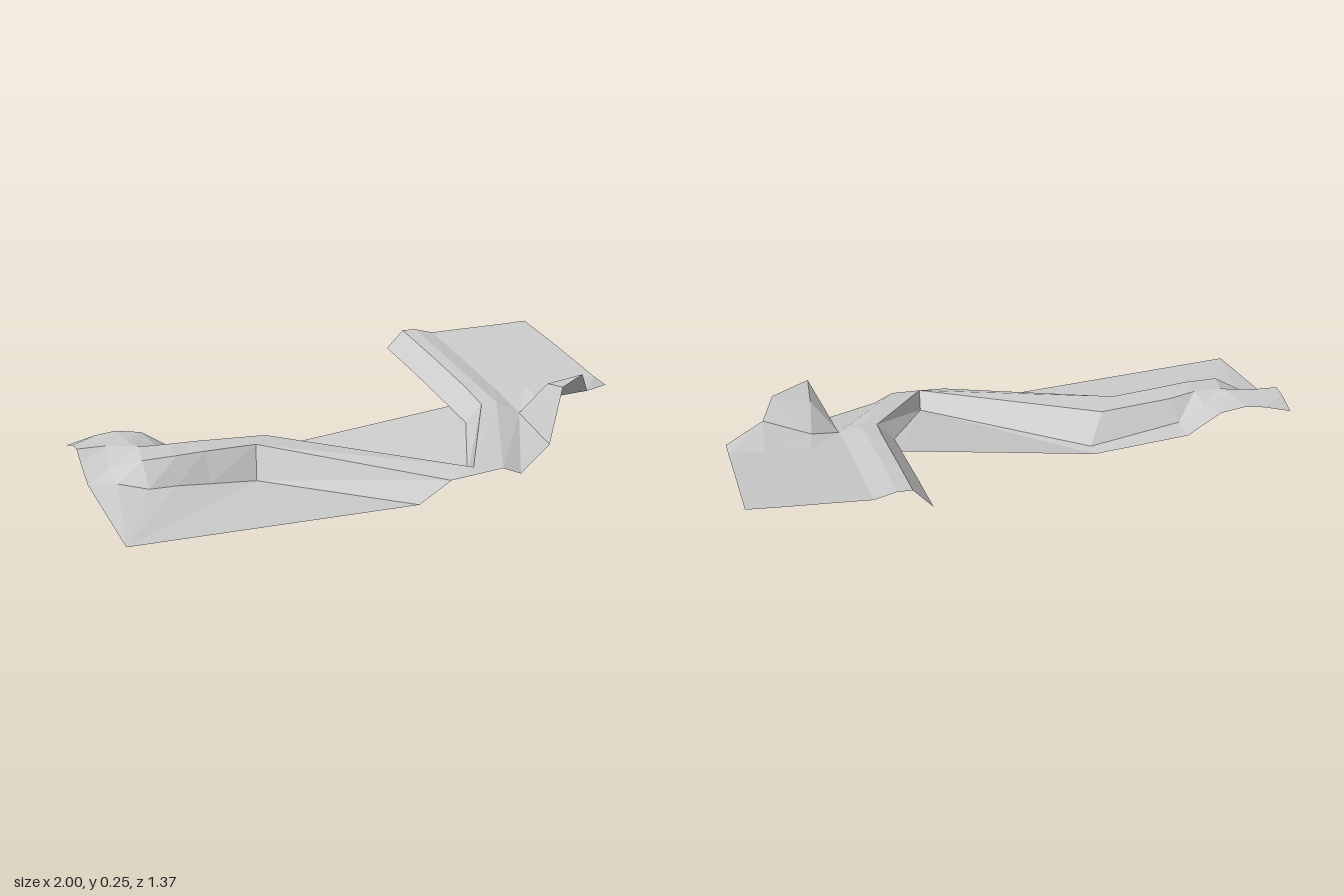
import * as THREE from 'three';

const material = new THREE.MeshStandardMaterial({ color: 0xcccccc, flatShading: true, side: THREE.DoubleSide });

// Surface from polygon fans, every triangle turned to face upwards
function sheet(name, polygons) {
  const out = [];
  for (const poly of polygons) {
    for (let i = 1; i < poly.length - 1; i++) {
      const a = poly[0];
      let b = poly[i], c = poly[i + 1];
      const up = (b[2] - a[2]) * (c[0] - a[0]) - (b[0] - a[0]) * (c[2] - a[2]);
      if (up < 0) [b, c] = [c, b];
      out.push(...a, ...b, ...c);
    }
  }
  const geometry = new THREE.BufferGeometry();
  geometry.setAttribute('position', new THREE.Float32BufferAttribute(out, 3));
  geometry.computeVertexNormals();
  const mesh = new THREE.Mesh(geometry, material);
  mesh.name = name;
  return mesh;
}

// Quads between neighbouring cross-sections
function loft(sections) {
  const quads = [];
  for (let s = 0; s < sections.length - 1; s++) {
    const p = sections[s], q = sections[s + 1];
    const n = Math.min(p.length, q.length);
    for (let i = 0; i < n - 1; i++) quads.push([p[i], p[i + 1], q[i + 1], q[i]]);
  }
  return quads;
}

export function createModel() {
  const group = new THREE.Group();
  group.name = 'roadTerrain';

  // Cross-sections: outer foot, outer road edge, inner road edge, inner foot, back border
  const west = [
    [[-1, 0.08, 0.2], [-1, 0.125, 0.11], [-1, 0.16, 0.06], [-1, 0.155, 0], [-1, 0.128, -0.09]],
    [[-0.91, 0.085, 0.24], [-0.92, 0.11, 0.15], [-0.9, 0.16, 0.06], [-0.9, 0.16, 0], [-0.9, 0.152, -0.09]],
    [[-0.82, 0.075, 0.3], [-0.82, 0.148, 0.22], [-0.8, 0.157, 0.1], [-0.82, 0.16, 0.04], [-0.83, 0.16, -0.09]],
    [[-0.72, 0.068, 0.28], [-0.7, 0.148, 0.21], [-0.7, 0.155, 0.1], [-0.72, 0.13, 0.04], [-0.74, 0.145, -0.09]],
    [[-0.6, 0.052, 0.255], [-0.6, 0.145, 0.19], [-0.6, 0.146, 0.075], [-0.62, 0.075, 0.02], [-0.62, 0.07, -0.09]],
    [[-0.43, 0.032, 0.225], [-0.41, 0.138, 0.16], [-0.34, 0.13, 0.05], [-0.28, 0.036, -0.03], [-0.28, 0.032, -0.09]],
    [[0.02, 0, 0.56], [0.14, 0.065, 0.545], [0.24, 0.085, 0.5], [0.25, 0.035, 0.43]],
  ];
  const bend = west[6];

  // Cross-sections: inner foot, inner road edge, outer road edge, outer foot
  const east = [
    [bend[3], bend[2], [0.34, 0.075, 0.52], [0.41, 0.045, 0.512]],
    [[0.41, 0.093, 0.06], [0.47, 0.155, 0.06], [0.53, 0.155, 0.06], [0.6, 0.12, 0.1]],
    [[0.41, 0.112, -0.09], [0.475, 0.177, -0.09], [0.525, 0.177, -0.09], [0.6, 0.153, -0.09]],
    [[0.41, 0.15, -0.4], [0.475, 0.215, -0.4], [0.525, 0.215, -0.4], [0.6, 0.193, -0.4]],
    [[0.41, 0.18, -0.685], [0.475, 0.245, -0.685], [0.525, 0.245, -0.685], [0.6, 0.225, -0.685]],
  ];

  group.add(sheet('westRoadBank', loft(west)));
  group.add(sheet('eastRoadBank', loft(east)));
  group.add(sheet('roadBend', [[bend[1], east[0][2], bend[2]]]));

  // Low ground in front of the west road
  group.add(sheet('frontGround', [[[-1, 0.035, 0.68], ...west.map(s => s[0])]]));

  // Basin enclosed by the hairpin
  group.add(sheet('basin', [[bend[3], east[1][0], east[2][0], west[5][4], west[5][3]]]));

  // Mound cut off by the slanted border, with the gully beside it
  const foot = east[1][3];
  const border = [[0.6, 0.075, 0.345], [0.68, 0.255, 0.277], [0.82, 0.255, 0.155], [0.86, 0.18, 0.12], [1, 0.155, 0]];
  const crown = [0.69, 0.23, 0.14];
  const heel = [0.7, 0.145, 0.05];
  const backFoot = [[0.72, 0.156, -0.09], [0.88, 0.159, -0.09], [1, 0.163, -0.09]];
  group.add(sheet('gully', [[east[0][3], border[0], foot]]));
  group.add(sheet('mound', [
    [foot, border[0], border[1], crown],
    [crown, border[1], border[2]],
    [foot, crown, heel],
    [heel, crown, border[2]],
    [heel, border[2], border[3], backFoot[1], backFoot[0]],
    [foot, heel, backFoot[0], east[2][3]],
    [border[3], border[4], backFoot[2], backFoot[1]],
  ]));

  // Sloping field behind the mound
  const row = (start, y, z) => [start, [0.72, y, z], [0.88, y + 0.003, z], [1, y + 0.007, z]];
  group.add(sheet('field', loft([
    [east[2][3], ...backFoot],
    row(east[3][3], 0.197, -0.4),
    row(east[4][3], 0.228, -0.685),
  ])));

  return group;
}
